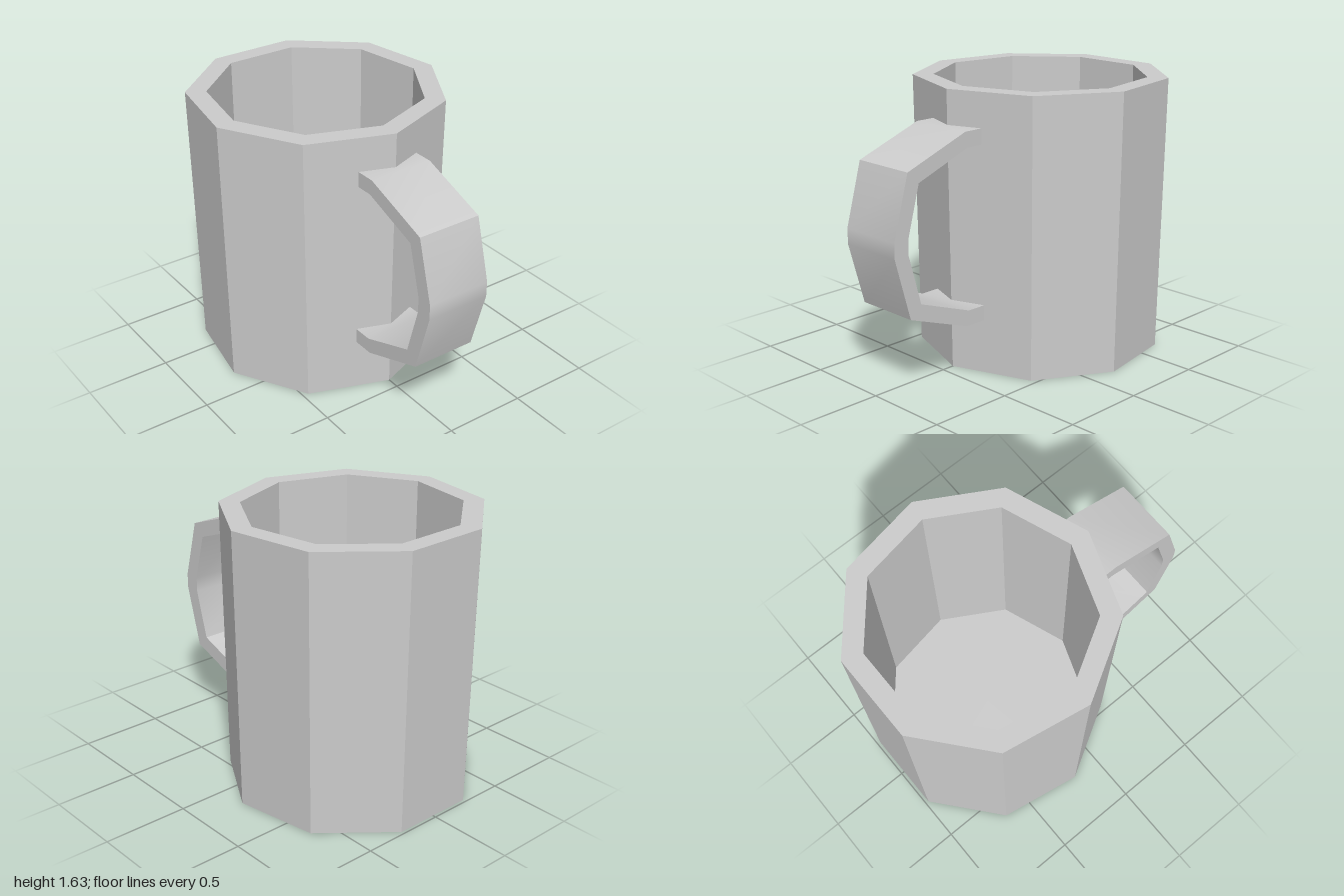
import * as THREE from 'three';
import { toCreasedNormals } from 'three/addons/utils/BufferGeometryUtils.js';

const CREASE = 0.5; // bends sharper than this stay hard
const points = (list) => list.map(([x, y]) => new THREE.Vector2(x, y));

export function createModel() {
  const group = new THREE.Group();
  group.name = 'mug';
  const grey = new THREE.MeshStandardMaterial({ name: 'light grey', color: 0xcccccc });

  const add = (name, geometry) => {
    const mesh = new THREE.Mesh(toCreasedNormals(geometry, CREASE), grey);
    mesh.name = name;
    group.add(mesh);
    return mesh;
  };

  // Nine-sided hollow cup, one corner pointing at the handle
  const profile = points([
    [0, 0], [0.724, 0], [0.745, 1.63], [0.625, 1.63], [0.625, 0.12], [0, 0.12],
  ]);
  add('cup', new THREE.LatheGeometry(profile, 9, Math.PI / 2)).position.x = -0.3;

  // Handle: flat band bent in five straight runs
  const outline = points([
    [0.36, 0.32], [0.49, 0.32], [0.9, 0.47], [1, 0.83], [1, 0.92], [0.9, 1.28], [0.49, 1.43], [0.37, 1.43],
    [0.37, 1.34], [0.475, 1.34], [0.825, 1.21], [0.905, 0.92], [0.905, 0.83], [0.825, 0.54], [0.475, 0.41], [0.36, 0.41],
  ]);
  const band = new THREE.ExtrudeGeometry(new THREE.Shape(outline), { depth: 0.39, bevelEnabled: false });
  add('handle', band).position.z = -0.195;

  return group;
}
